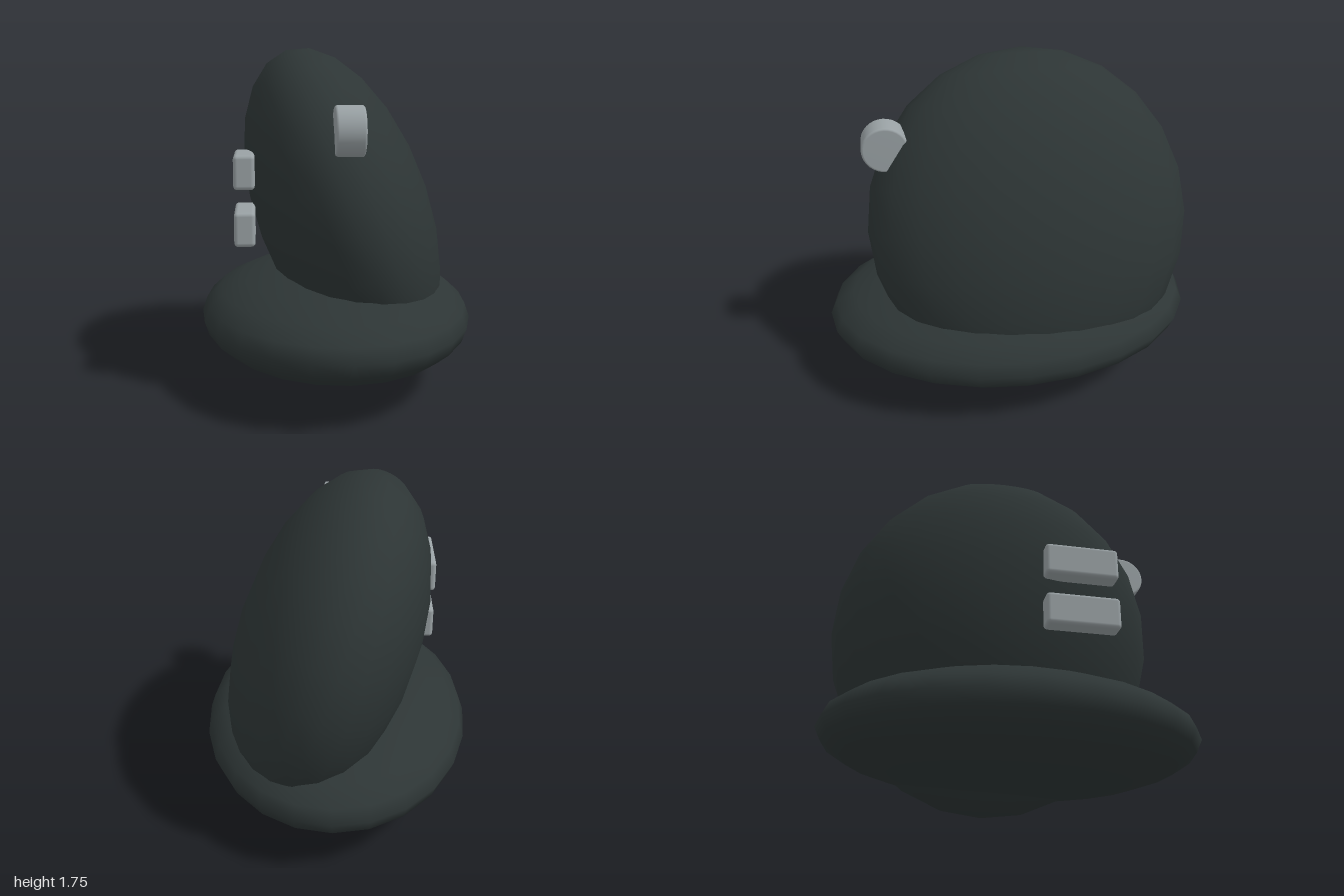
import * as THREE from 'three';
import { RoundedBoxGeometry } from 'three/addons/geometries/RoundedBoxGeometry.js';

export function createModel() {
  const model = new THREE.Group();
  const shell = new THREE.MeshStandardMaterial({ color: 0x2d3535 });
  shell.name = 'dark shell';
  const metal = new THREE.MeshStandardMaterial({ color: 0x99a1a4 });
  metal.name = 'light grey';

  function add(name, geometry, material, x, y, z) {
    const mesh = new THREE.Mesh(geometry, material);
    mesh.name = name;
    mesh.position.set(x, y, z);
    model.add(mesh);
    return mesh;
  }

  const ellipsoid = (rx, ry, rz) => new THREE.SphereGeometry(1, 24, 12).scale(rx, ry, rz);

  // Flat oval base and the upright body leaning to one side
  add('base', ellipsoid(0.717, 0.275, 1), shell, 0, 0.347, 0);
  const body = add('body', ellipsoid(0.468, 0.914, 0.86), shell, 0.05, 0.877, -0.103);
  body.rotation.z = 0.335;

  // Scroll wheel with softened rims, axis along x
  const half = 0.07, radius = 0.12, rim = 0.012;
  const profile = [new THREE.Vector2(0, -half)];
  for (const side of [-1, 1]) {
    for (let i = 0; i <= 3; i++) {
      const a = (side < 0 ? i : 3 - i) * Math.PI / 6;
      profile.push(new THREE.Vector2(
        radius - rim + rim * Math.sin(a),
        side * (half - rim + rim * Math.cos(a))));
    }
  }
  profile.push(new THREE.Vector2(0, half));
  const wheel = add('scrollWheel', new THREE.LatheGeometry(profile, 32), metal, 0.015, 1.35, 0.635);
  wheel.rotation.z = Math.PI / 2;

  // Two thumb buttons on the side
  [['lowerThumbButton', 0.86], ['upperThumbButton', 1.14]].forEach(([name, y]) =>
    add(name, new RoundedBoxGeometry(0.104, 0.17, 0.38, 3, 0.02), metal, -0.477, y, 0.26));

  return model;
}
